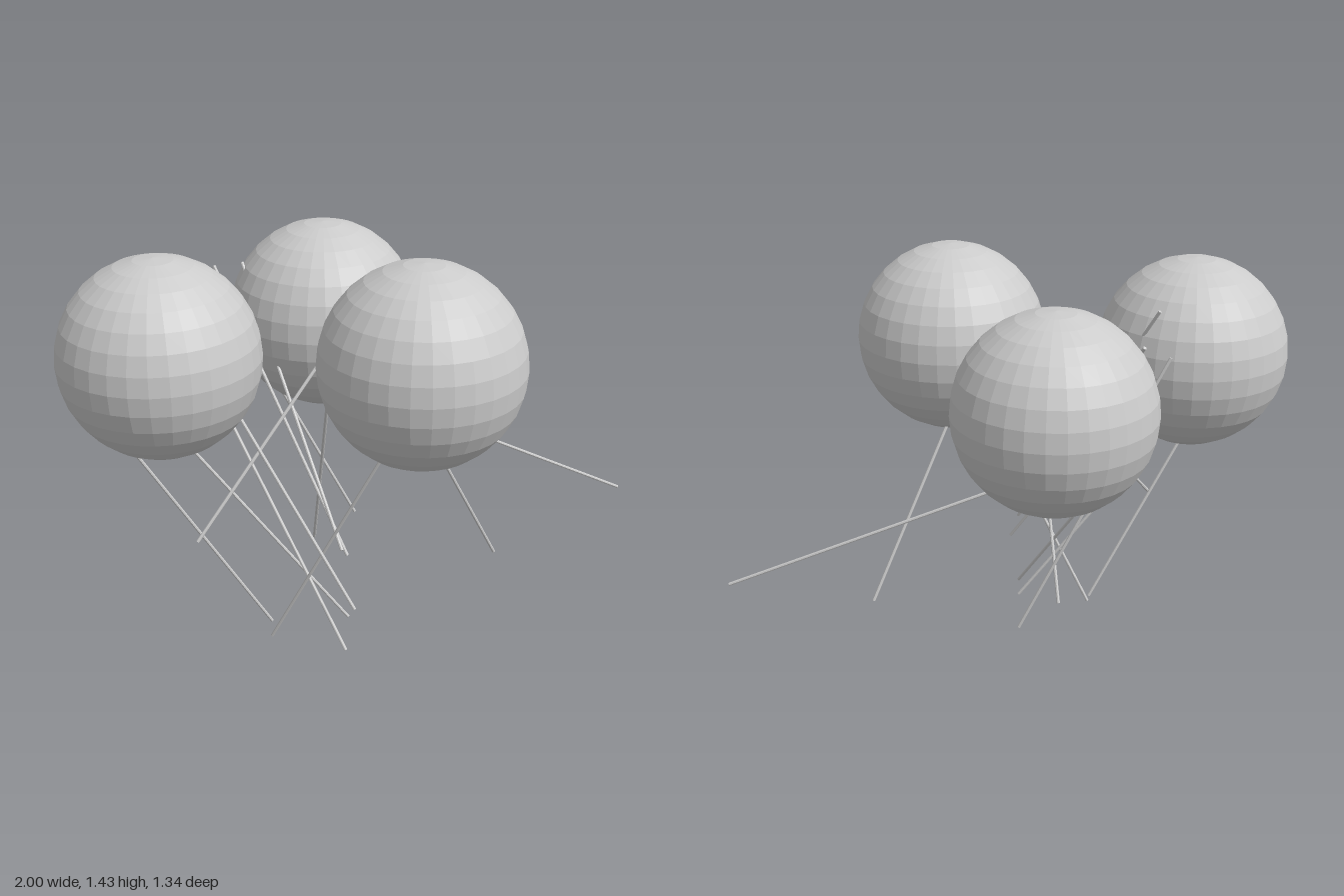
import * as THREE from 'three';

export function createModel() {
  const model = new THREE.Group();
  const material = new THREE.MeshStandardMaterial({ color: 0xcccccc, flatShading: true });
  const up = new THREE.Vector3(0, 1, 0);

  // Three large faceted balls
  const ballGeometry = new THREE.SphereGeometry(0.34, 32, 16);
  const balls = [
    ['rightBall', -0.66, 1.07, 0.16],
    ['backBall', -0.11, 1.04, -0.33],
    ['leftBall', 0.19, 1.095, 0.33],
  ];
  for (const [name, x, y, z] of balls) {
    const ball = new THREE.Mesh(ballGeometry, material);
    ball.name = name;
    ball.position.set(x, y, z);
    model.add(ball);
  }

  // Thin straight rods of nearly equal length: lower end, upper end
  const rods = [
    // under the right ball
    [[-0.32, 0.05, 0.2], [-0.855, 0.99, 0.345]],
    [[-0.045, 0.065, 0.21], [-0.715, 0.925, 0.175]],
    [[-0.06, 0.037, 0.375], [-0.53, 0.925, -0.05]],
    [[-0.03, 0.225, 0.404], [-0.565, 1.12, 0.08]],
    [[-0.05, 0.37, 0.287], [-0.486, 1.296, -0.097]],
    // under the back ball
    [[1.0, 0.37, -0.165], [-0.015, 0.77, -0.253]],
    [[0.0, 0.22, -0.287], [-0.495, 1.19, -0.26]],
    [[-0.07, 0.425, 0.345], [-0.4, 1.24, -0.3]],
    // under the left ball
    [[0.51, 0.19, -0.01], [0.06, 1.14, 0.285]],
    [[-0.32, 0.008, 0.233], [0.155, 0.977, 0.404]],
    [[-0.56, 0.445, 0.3], [0.07, 1.25, -0.08]],
    [[-0.16, 0.21, -0.12], [-0.095, 1.18, 0.375]],
  ];
  rods.forEach(([low, high], i) => {
    const a = new THREE.Vector3(...low);
    const b = new THREE.Vector3(...high);
    const along = b.clone().sub(a);
    const rod = new THREE.Mesh(new THREE.CylinderGeometry(0.006, 0.006, along.length(), 8), material);
    rod.name = `rod${i + 1}`;
    rod.position.copy(a).add(b).multiplyScalar(0.5);
    rod.quaternion.setFromUnitVectors(up, along.normalize());
    model.add(rod);
  });

  return model;
}
